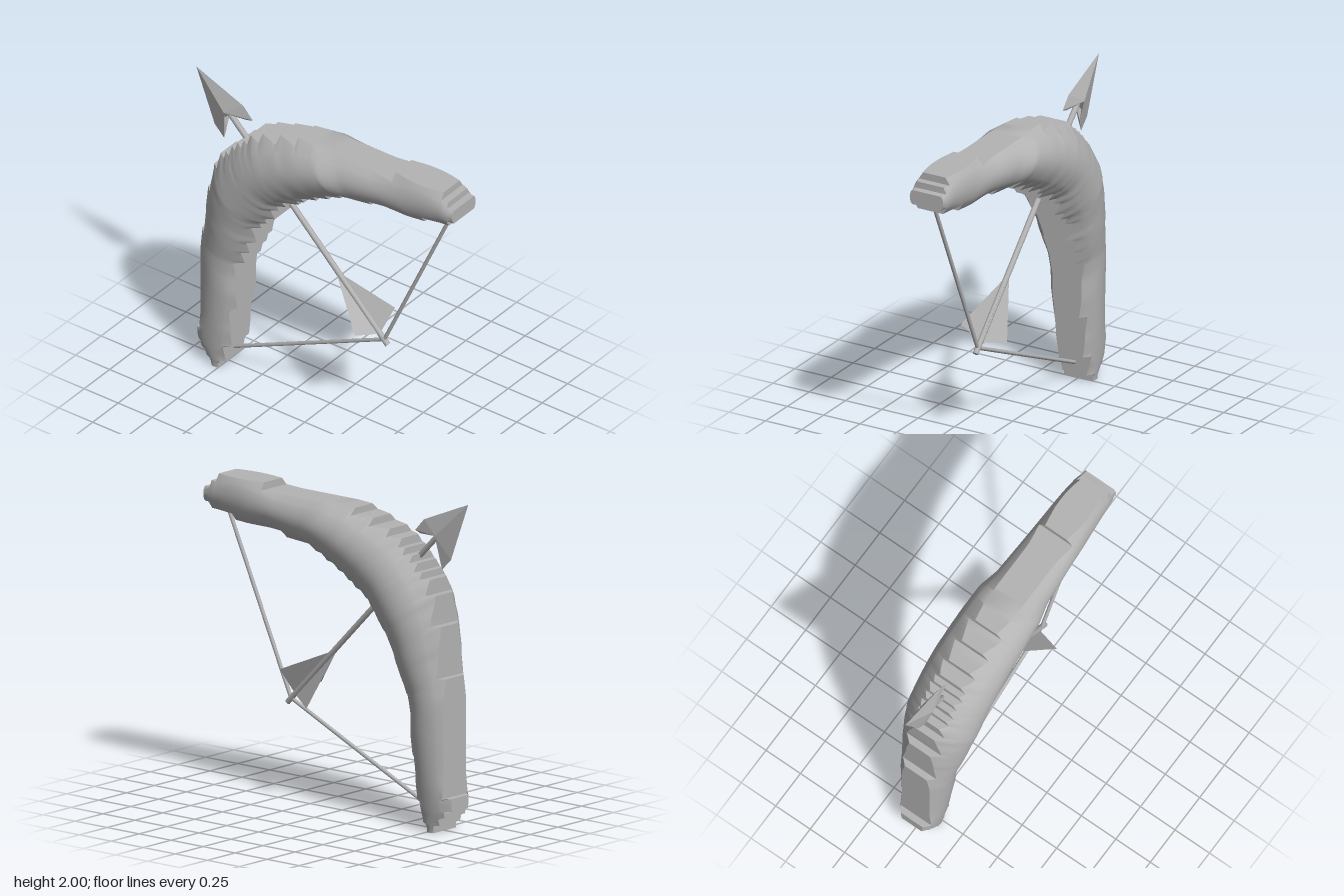
import * as THREE from 'three';
import { toCreasedNormals } from 'three/addons/utils/BufferGeometryUtils.js';

const V = (x, y, z = 0) => new THREE.Vector3(x, y, z);

// Stepped outline: a start point, then alternating new y and new x values
function steppedPath(x, y, moves) {
  const pts = [V(x, y)], lens = [0];
  moves.forEach((m, i) => {
    const p = pts[i].clone();
    if (i % 2) p.x = m; else p.y = m;
    lens.push(lens[i] + p.distanceTo(pts[i]));
    pts.push(p);
  });
  const total = lens[lens.length - 1];
  const at = (u) => {
    const l = Math.min(Math.max(u, 0), 1) * total;
    let i = 1;
    while (i < lens.length - 1 && lens[i] < l) i++;
    return pts[i - 1].clone().lerp(pts[i], (l - lens[i - 1]) / (lens[i] - lens[i - 1]));
  };
  // Running average that removes the steps
  const smooth = (u) => {
    const w = Math.min(0.035, u, 1 - u), sum = V(0, 0);
    for (let k = -6; k <= 6; k++) sum.add(at(u + (w * k) / 6));
    return sum.divideScalar(13);
  };
  return { at, smooth, stops: lens.map((l) => l / total) };
}

const OUTER = steppedPath(-0.8, 0, [
  0.05, -0.84, 0.1, -0.88, 0.14, -0.92, 0.22, -0.88, 0.94, -0.84, 1.25, -0.795, 1.43, -0.75,
  1.52, -0.7, 1.56, -0.66, 1.61, -0.62, 1.65, -0.57, 1.69, -0.53, 1.74, -0.44, 1.785, -0.31,
  1.83, -0.17, 1.87, 0.54, 1.915, 0.895, 1.87, 0.94, 1.83, 0.985]);
const INNER = steppedPath(-0.75, 0, [
  0.05, -0.705, 0.18, -0.66, 0.45, -0.62, 0.81, -0.57, 0.9, -0.53, 0.99, -0.485, 1.12, -0.44,
  1.165, -0.4, 1.21, -0.35, 1.3, -0.31, 1.34, -0.26, 1.39, -0.17, 1.43, -0.125, 1.475, -0.04,
  1.52, 0.05, 1.565, 0.14, 1.61, 0.365, 1.655, 0.76, 1.7, 0.94, 1.74, 0.985]);

// Half thickness along the bow, lower tip to upper tip
const DEPTH = [[0, 0.105], [0.05, 0.12], [0.27, 0.172], [0.33, 0.2], [0.42, 0.23], [0.56, 0.23],
  [0.65, 0.222], [0.72, 0.21], [0.755, 0.178], [0.97, 0.128], [1, 0.115]];
function depthAt(u) {
  let i = 1;
  while (i < DEPTH.length - 1 && DEPTH[i][0] < u) i++;
  const [u0, d0] = DEPTH[i - 1], [u1, d1] = DEPTH[i];
  return d0 + ((d1 - d0) * (u - u0)) / (u1 - u0);
}

// Bow body: domed cross-sections with flat, stepped rims
function bowGeometry() {
  const RIM = 0.1, rows = 12;
  const us = [...OUTER.stops, ...INNER.stops];
  for (let i = 0; i <= 120; i++) us.push(i / 120);
  us.sort((a, b) => a - b);
  const stations = us.filter((u, i) => i === 0 || u - us[i - 1] > 1e-4);
  const pos = [], index = [];
  for (const u of stations) {
    const o = OUTER.at(u), n = INNER.at(u), so = OUTER.smooth(u), sn = INNER.smooth(u);
    const out = so.clone().sub(sn).normalize(), depth = depthAt(u);
    const front = [];
    for (let k = 0; k <= rows; k++) {
      if (k === 0) {
        o.z = RIM - 0.9 * o.clone().sub(so).dot(out);
        front.push(o);
      } else if (k === rows) {
        n.z = RIM + 0.9 * n.clone().sub(sn).dot(out);
        front.push(n);
      } else {
        const t = 0.13 + (0.74 * (k - 1)) / (rows - 2);
        const p = so.clone().lerp(sn, t);
        p.z = RIM + (depth - RIM) * Math.pow(Math.sin(Math.PI * t), 0.7);
        front.push(p);
      }
    }
    for (const p of front) pos.push(p.x, p.y, p.z);
    for (const p of front.reverse()) pos.push(p.x, p.y, -p.z);
  }
  const n = 2 * (rows + 1), last = (stations.length - 1) * n;
  for (let i = 0; i < stations.length - 1; i++) {
    for (let j = 0; j < n; j++) {
      const a = i * n + j, b = i * n + ((j + 1) % n);
      index.push(a, b, b + n, a, b + n, a + n);
    }
  }
  // End caps
  for (let j = 1; j < n - 1; j++) {
    index.push(0, j + 1, j);
    index.push(last, last + j, last + j + 1);
  }
  const g = new THREE.BufferGeometry();
  g.setAttribute('position', new THREE.Float32BufferAttribute(pos, 3));
  g.setIndex(index);
  return toCreasedNormals(g, 0.6);
}

// Flat-faced surface from a list of triangles
function facets(tris) {
  const g = new THREE.BufferGeometry().setFromPoints(tris.flat());
  g.computeVertexNormals();
  return g;
}

export function createModel() {
  const group = new THREE.Group();
  const grey = new THREE.MeshStandardMaterial({ color: 0xb4b4b4 });
  grey.name = 'plain grey';
  grey.side = THREE.DoubleSide;
  const add = (geo, name) => {
    const m = new THREE.Mesh(geo, grey);
    m.name = name;
    group.add(m);
    return m;
  };
  const rod = (a, b, radius, name) => {
    const d = b.clone().sub(a);
    const m = add(new THREE.CylinderGeometry(radius, radius, d.length(), 8), name);
    m.position.copy(a).add(b).multiplyScalar(0.5);
    m.quaternion.setFromUnitVectors(V(0, 1), d.normalize());
  };

  add(bowGeometry(), 'bow');

  // Drawn string in two halves, meeting at the arrow's end
  rod(V(0.4, 0.62), V(0.9, 1.72), 0.012, 'upperString');
  rod(V(0.4, 0.62), V(-0.72, 0.11), 0.012, 'lowerString');

  // Arrow shaft
  rod(V(0.425, 0.59), V(-0.77, 1.8), 0.018, 'arrowShaft');

  // Arrowhead: barbed blade with a raised ridge on both sides
  const barbs = [V(-0.985, 2), V(-0.85, 1.645), V(-0.78, 1.575), V(-0.765, 1.65), V(-0.785, 1.71),
    V(-0.74, 1.765), V(-0.69, 1.8), V(-0.61, 1.77), V(-0.57, 1.785), V(-0.64, 1.86)];
  const headTris = [];
  for (const s of [1, -1]) {
    const ridge = V(-0.755, 1.782, 0.038 * s);
    barbs.forEach((p, i) => {
      const q = barbs[(i + 1) % barbs.length];
      headTris.push(s > 0 ? [ridge, p, q] : [ridge, q, p]);
    });
  }
  add(facets(headTris), 'arrowHead');

  // Three vanes spaced evenly around the shaft
  for (let i = 0; i < 3; i++) {
    const a = (i * Math.PI * 2) / 3, side = Math.sin(a) * Math.SQRT1_2;
    const tip = V(0.31, 0.7).addScaledVector(V(side, side, Math.cos(a)), 0.17);
    add(facets([[V(0.04, 0.965), tip, V(0.365, 0.645)]]), 'arrowVane' + (i + 1));
  }
  return group;
}
